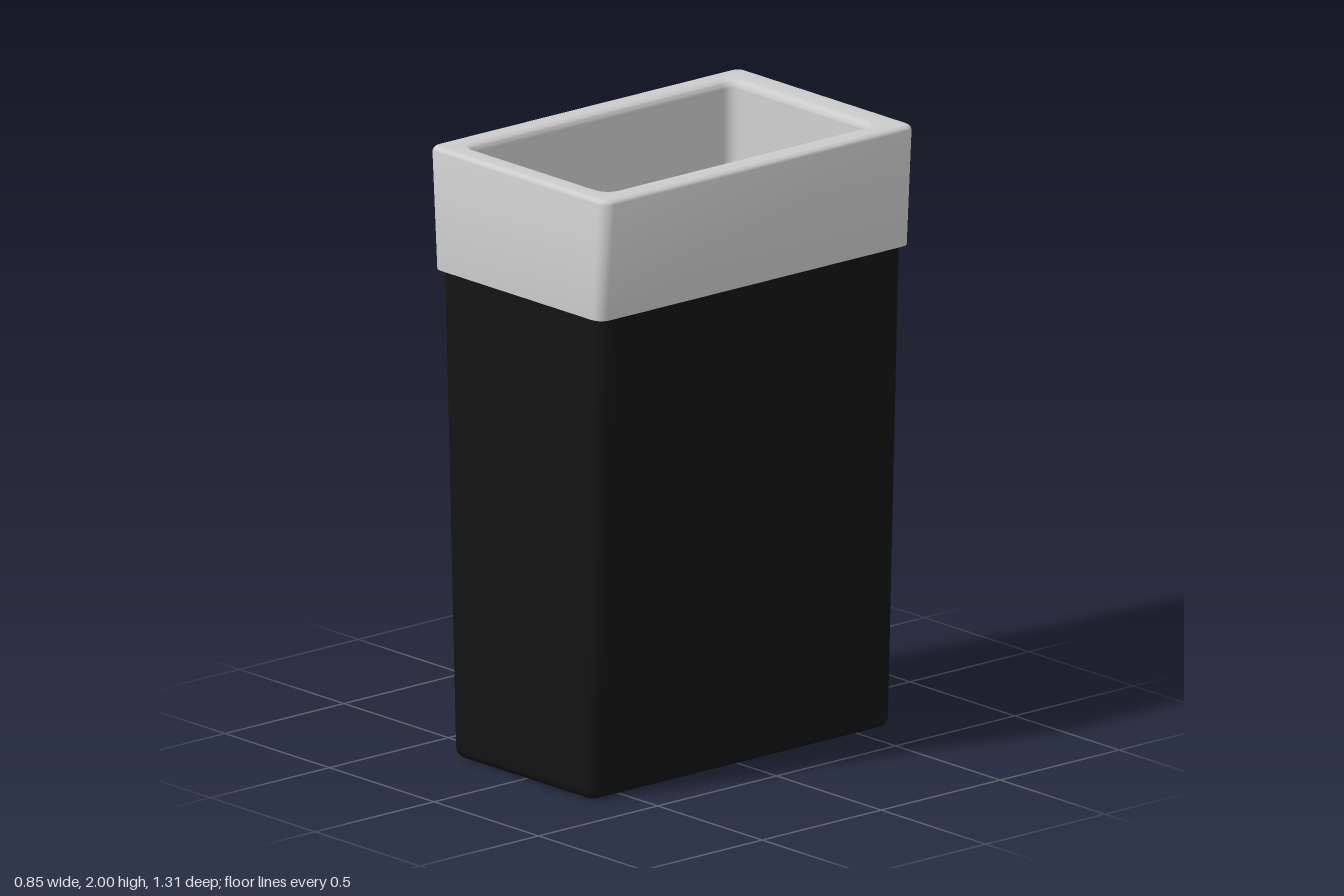
import * as THREE from 'three';
import { toCreasedNormals } from 'three/addons/utils/BufferGeometryUtils.js';

const SEG = 6; // segments per rounded corner

// Rounded rectangle ring: half sizes hx, hz, corner radius r, height y, z offset
function ring({ hx, hz, r, y, z = 0 }) {
  const points = [];
  for (let c = 0; c < 4; c++) {
    const sx = c === 0 || c === 3 ? 1 : -1;
    const sz = c < 2 ? 1 : -1;
    for (let i = 0; i <= SEG; i++) {
      const a = (c + i / SEG) * Math.PI / 2;
      points.push(sx * (hx - r) + r * Math.cos(a), y, z + sz * (hz - r) + r * Math.sin(a));
    }
  }
  return points;
}

// Skin a list of rings, optionally closing the first and last
function loft(sections, capStart, capEnd) {
  const n = 4 * (SEG + 1);
  const index = [];
  for (let s = 0; s < sections.length - 1; s++) {
    for (let i = 0; i < n; i++) {
      const a = s * n + i, b = s * n + (i + 1) % n;
      index.push(a, a + n, b, b, a + n, b + n);
    }
  }
  const last = (sections.length - 1) * n;
  for (let i = 1; i < n - 1; i++) {
    if (capStart) index.push(0, i, i + 1);
    if (capEnd) index.push(last, last + i + 1, last + i);
  }
  const geometry = new THREE.BufferGeometry();
  geometry.setAttribute('position', new THREE.Float32BufferAttribute(sections.flatMap(ring), 3));
  geometry.setIndex(index);
  return toCreasedNormals(geometry, 0.6);
}

export function createModel() {
  const group = new THREE.Group();
  const black = new THREE.MeshStandardMaterial({ color: 0x141414 });
  const grey = new THREE.MeshStandardMaterial({ color: 0xcccccc });
  const add = (name, geometry, material) => {
    const mesh = new THREE.Mesh(geometry, material);
    mesh.name = name;
    group.add(mesh);
  };
  const STEPS = 5;

  // Tapered bin body with a rounded bottom edge
  const body = [];
  for (let i = 0; i <= STEPS; i++) {
    const a = i / STEPS * Math.PI / 2, inset = 0.035 * (1 - Math.sin(a));
    body.push({ hx: 0.338 - inset, hz: 0.635 - inset, r: 0.045 - inset, y: 0.035 * (1 - Math.cos(a)) });
  }
  body.push({ hx: 0.39, hz: 0.635, r: 0.045, y: 1.62 });
  add('body', loft(body, true, false), black);

  // Collar: underside, flared outer wall, rounded top edge
  const collar = [
    { hx: 0.38, hz: 0.625, r: 0.035, y: 1.6 },
    { hx: 0.402, hz: 0.655, r: 0.04, y: 1.6 },
  ];
  for (let i = 0; i <= STEPS; i++) {
    const a = i / STEPS * Math.PI / 2, inset = 0.02 * (1 - Math.cos(a));
    collar.push({ hx: 0.425 - inset, hz: 0.655 - inset, r: 0.04 - inset, y: 1.98 + 0.02 * Math.sin(a) });
  }
  // Rounded inner lip turning down into the straight liner
  const opening = { hx: 0.331, hz: 0.553, r: 0.035, z: 0.012 };
  for (let i = 0; i <= STEPS; i++) {
    const a = i / STEPS * Math.PI / 2, out = 0.025 * (1 - Math.sin(a));
    collar.push({ ...opening, hx: opening.hx + out, hz: opening.hz + out, r: opening.r + out, y: 1.975 + 0.025 * Math.cos(a) });
  }
  collar.push({ ...opening, y: 0.05 });
  add('collarAndLiner', loft(collar, false, false), grey);

  // Inside floor
  add('floor', loft([{ ...opening, y: 0.04 }, { ...opening, y: 0.055 }], false, true), black);

  return group;
}
